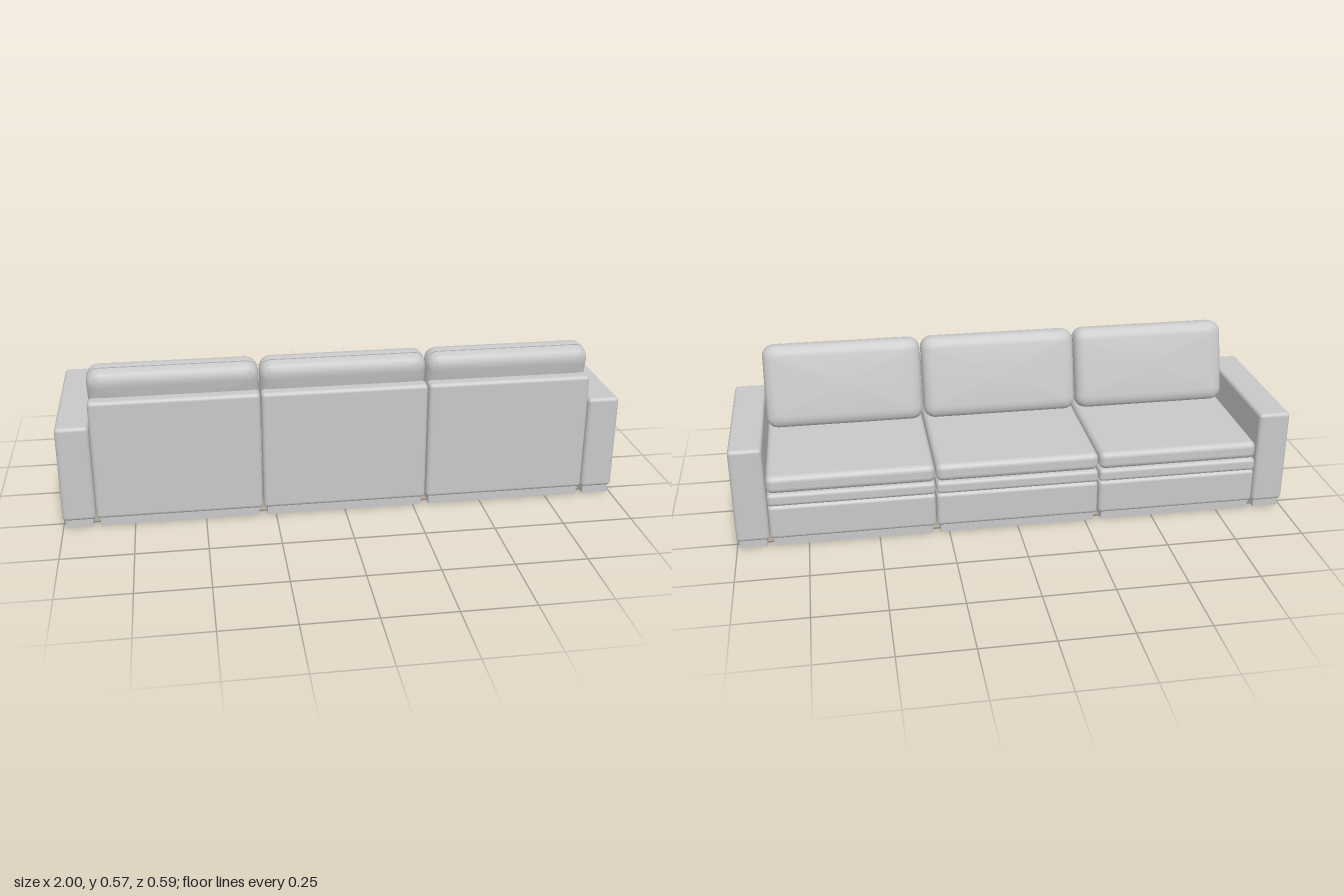
import * as THREE from 'three';
import { toCreasedNormals } from 'three/addons/utils/BufferGeometryUtils.js';
import { RoundedBoxGeometry } from 'three/addons/geometries/RoundedBoxGeometry.js';

const upholstery = new THREE.MeshStandardMaterial({ color: 0xc8c8c8 });
upholstery.name = 'greyUpholstery';

function add(parent, name, geometry) {
  const mesh = new THREE.Mesh(geometry, upholstery);
  mesh.name = name;
  parent.add(mesh);
  return mesh;
}

// Box given by its limits on each axis; radius 0 keeps sharp edges
function block(parent, name, [x0, x1], [y0, y1], [z0, z1], radius = 0) {
  const size = [x1 - x0, y1 - y0, z1 - z0];
  const geometry = radius
    ? new RoundedBoxGeometry(...size, 4, radius)
    : new THREE.BoxGeometry(...size);
  const mesh = add(parent, name, geometry);
  mesh.position.set((x0 + x1) / 2, (y0 + y1) / 2, (z0 + z1) / 2);
}

// Padded cushion: rounded-rectangle rings stacked through its thickness,
// with a narrow seam groove around the middle
function cushionGeometry(width, height, radius) {
  const half = [
    [0.055, 0.045], [0.053, 0.03], [0.046, 0.014], [0.036, 0.005],
    [0.02, 0.001], [0.0025, 0], [0.002, 0.005],
  ];
  const rings = [
    ...half.map(([z, inset]) => [-z, inset]),
    ...half.slice().reverse(),
  ];
  const steps = 6, count = 4 * (steps + 1);
  const positions = [], index = [];
  for (const [z, inset] of rings) {
    const r = Math.max(radius - inset * 0.6, 0.008);
    const cx = width / 2 - inset - r, cy = height / 2 - inset - r;
    for (let c = 0; c < 4; c++) {
      const sx = c === 0 || c === 3 ? 1 : -1, sy = c < 2 ? 1 : -1;
      for (let s = 0; s <= steps; s++) {
        const a = (c + s / steps) * Math.PI / 2;
        positions.push(sx * cx + r * Math.cos(a), sy * cy + r * Math.sin(a), z);
      }
    }
  }
  for (let k = 0; k < rings.length - 1; k++) {
    for (let i = 0; i < count; i++) {
      const a = k * count + i, b = k * count + (i + 1) % count;
      index.push(a, b, b + count, a, b + count, a + count);
    }
  }
  // Flat front and back faces
  const front = positions.length / 3, last = (rings.length - 1) * count;
  positions.push(0, 0, -0.055, 0, 0, 0.055);
  for (let i = 0; i < count; i++) {
    const j = (i + 1) % count;
    index.push(front, j, i, front + 1, last + i, last + j);
  }
  const geometry = new THREE.BufferGeometry();
  geometry.setAttribute('position', new THREE.Float32BufferAttribute(positions, 3));
  geometry.setIndex(index);
  return toCreasedNormals(geometry, 0.8);
}

export function createModel() {
  const sofa = new THREE.Group();
  sofa.name = 'sofa';
  const pitch = 0.59;
  const backCushion = cushionGeometry(0.587, 0.312, 0.042);

  // Three identical seat sections
  for (let i = -1; i <= 1; i++) {
    const section = new THREE.Group();
    section.name = 'seatSection';
    section.position.x = i * pitch;
    sofa.add(section);

    const w = [-0.293, 0.293];
    block(section, 'plinth', [-0.28, 0.28], [0, 0.036], [-0.28, 0.283]);
    block(section, 'seatBase', w, [0.032, 0.16], [-0.293, 0.25], 0.014);
    block(section, 'seatBand', w, [0.16, 0.207], [-0.295, 0.25], 0.014);
    block(section, 'seatCushion', w, [0.207, 0.272], [-0.293, 0.25], 0.022);
    block(section, 'backPanel', w, [0.032, 0.472], [0.238, 0.295], 0.014);

    const cushion = add(section, 'backCushion', backCushion);
    cushion.position.set(0, 0.418, 0.182);
    cushion.rotation.x = 0.255;
  }

  // Arms, each on two block feet
  for (const side of [-1, 1]) {
    const arm = new THREE.Group();
    arm.name = side > 0 ? 'leftArm' : 'rightArm';
    arm.position.x = side * 0.9425;
    sofa.add(arm);
    block(arm, 'armRest', [-0.0575, 0.0575], [0.03, 0.383], [-0.294, 0.295], 0.014);
    for (const z of [-0.235, 0.238]) {
      block(arm, 'foot', [-0.047, 0.047], [0, 0.034], [z - 0.045, z + 0.045]);
    }
  }
  return sofa;
}
